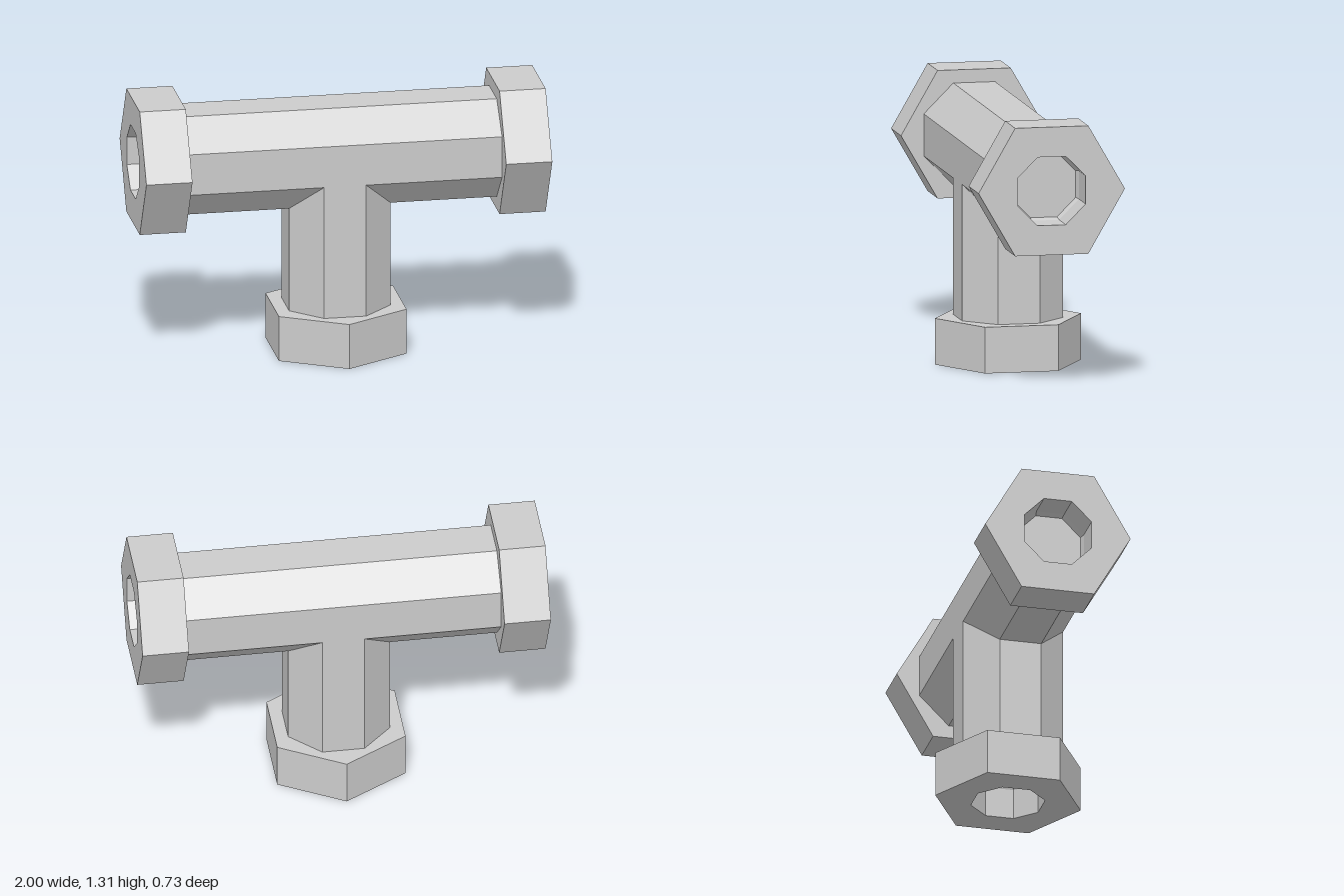
import * as THREE from 'three';

const material = new THREE.MeshStandardMaterial({ color: 0xcccccc, flatShading: true });
const liner = new THREE.MeshStandardMaterial({ color: 0xcccccc, flatShading: true, side: THREE.DoubleSide });

const AXIS_Y = 1;      // height of the cross pipe
const NUT = 0.227;     // nut thickness
const toCorner = Math.cos(Math.PI / 8); // octagon apothem / corner radius

function polygon(sides, radius, start) {
  return Array.from({ length: sides }, (_, i) => {
    const a = start + (i / sides) * Math.PI * 2;
    return new THREE.Vector2(Math.cos(a) * radius, Math.sin(a) * radius);
  });
}

// Octagonal pipe with flats facing the axes
function pipe(name, length) {
  const r = 0.25 / toCorner;
  const mesh = new THREE.Mesh(new THREE.CylinderGeometry(r, r, length, 8, 1, false, Math.PI / 8), material);
  mesh.name = name;
  return mesh;
}

// Hexagonal nut with an octagonal socket, opening toward local +z
function nut(name) {
  const group = new THREE.Group();
  group.name = name;

  const shape = new THREE.Shape(polygon(6, 0.363, 0));
  shape.holes.push(new THREE.Path(polygon(8, 0.168 / toCorner, Math.PI / 8).reverse()));
  const collar = new THREE.Mesh(
    new THREE.ExtrudeGeometry(shape, { depth: NUT, bevelEnabled: false }), material);
  collar.name = name + 'Collar';

  // Slightly tapered floor of the socket
  const profile = [[0, 0.045], [0.158 / toCorner, 0.045], [0.168 / toCorner, 0.075]]
    .map(([x, y]) => new THREE.Vector2(x, y));
  const floor = new THREE.Mesh(
    new THREE.LatheGeometry(profile, 8, Math.PI / 8).rotateX(Math.PI / 2), liner);
  floor.name = name + 'SocketFloor';

  group.add(collar, floor);
  return group;
}

export function createModel() {
  const model = new THREE.Group();
  model.name = 'pipeTee';

  // Cross pipe with a nut on each end
  const cross = pipe('crossPipe', 2 * (1 - NUT));
  cross.rotation.z = Math.PI / 2;
  cross.position.y = AXIS_Y;
  model.add(cross);
  for (const side of [1, -1]) {
    const end = nut(side > 0 ? 'leftNut' : 'rightNut');
    end.rotation.y = side * Math.PI / 2;
    end.position.set(side * (1 - NUT), AXIS_Y, 0);
    model.add(end);
  }

  // Stem rises to the lower edge of the cross pipe's side flats
  const top = AXIS_Y - 0.25 * Math.tan(Math.PI / 8);
  const stem = pipe('stemPipe', top - NUT);
  stem.position.y = (top + NUT) / 2;
  model.add(stem);

  // Bottom nut opens downward, corners front and back
  const base = nut('bottomNut');
  base.rotation.set(Math.PI / 2, 0, Math.PI / 2);
  base.position.y = NUT;
  model.add(base);

  return model;
}
